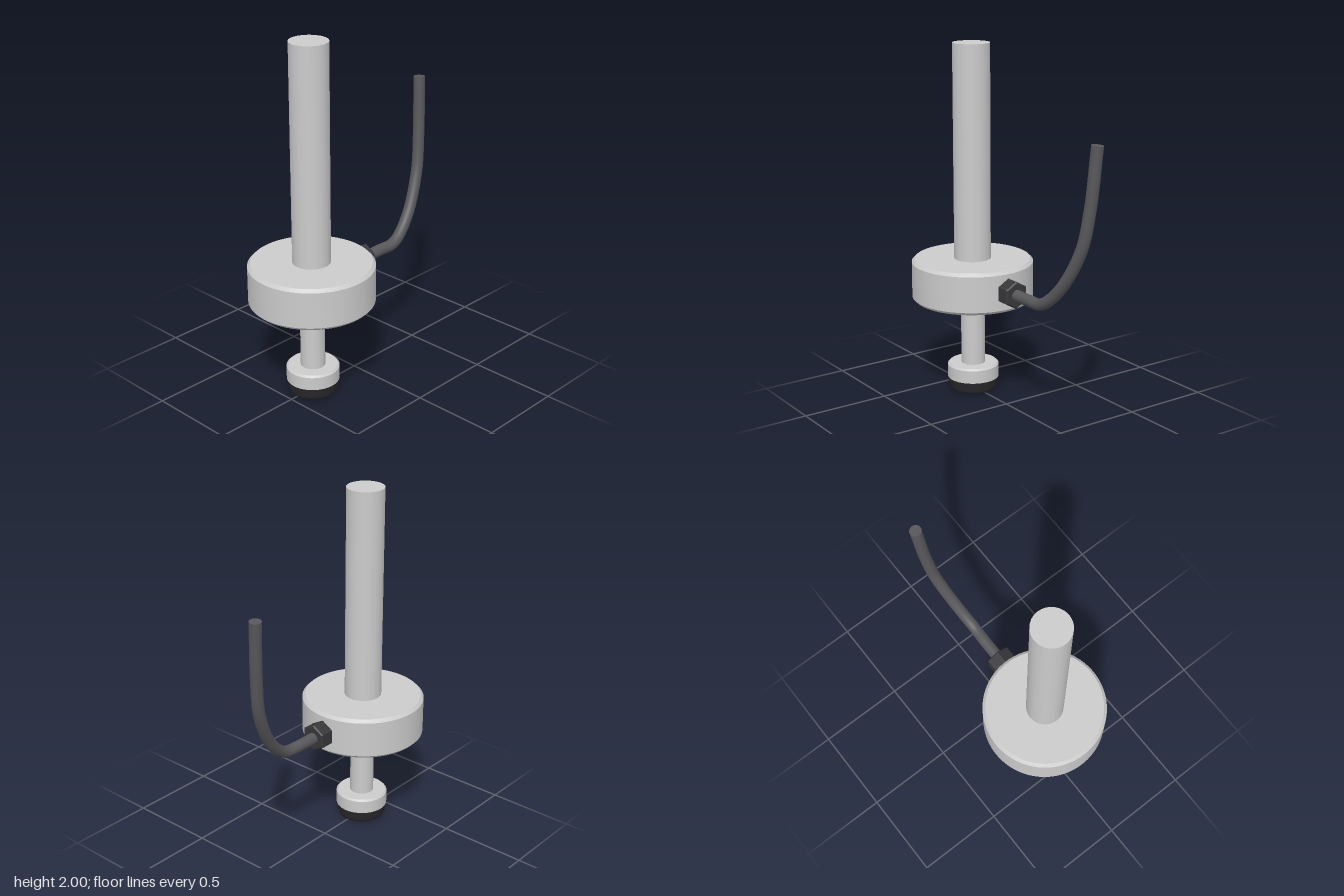
import * as THREE from 'three';
import { toCreasedNormals } from 'three/addons/utils/BufferGeometryUtils.js';

const AXIS_X = -0.33;
const PORT_Y = 0.665;

const material = (color) => new THREE.MeshStandardMaterial({ color });
const grey = material(0xcccccc);
const nutDark = material(0x38383b);
const cableDark = material(0x58585b);
const rubber = material(0x262628);

// Turned solid from [radius, height] pairs listed bottom to top
function turned(profile, segments = 64, phiStart = 0, crease = 0.5) {
  const points = profile.map(([r, y]) => new THREE.Vector2(r, y));
  return toCreasedNormals(new THREE.LatheGeometry(points, segments, phiStart), crease);
}

// Capped cylinder profile with a chamfer at either end
function chamfered(r, y0, y1, low, high) {
  const p = [[0, y0], [r - low, y0]];
  if (low) p.push([r, y0 + low]);
  if (high) p.push([r, y1 - high]);
  p.push([r - high, y1], [0, y1]);
  return p;
}

export function createModel() {
  const model = new THREE.Group();
  const add = (name, geometry, mat, x = 0, y = 0) => {
    const mesh = new THREE.Mesh(geometry, mat);
    mesh.name = name;
    mesh.position.set(x, y, 0);
    model.add(mesh);
  };

  // Parts turned about the main vertical axis
  add('upperShaft', turned(chamfered(0.104, 0.77, 2, 0, 0)), grey, AXIS_X);
  add('bodyDisc', turned(chamfered(0.345, 0.545, 0.783, 0.017, 0.017), 96), grey, AXIS_X);
  add('lowerRod', turned(chamfered(0.068, 0.14, 0.56, 0, 0)), grey, AXIS_X);
  add('footCollar', turned(chamfered(0.147, 0.073, 0.158, 0, 0.01)), grey, AXIS_X);

  // Rubber foot with a rounded lower rim
  const foot = [[0, 0]];
  const round = 0.022;
  for (let i = 0; i <= 6; i++) {
    const a = (i / 6) * Math.PI / 2;
    foot.push([0.138 - round + round * Math.sin(a), round - round * Math.cos(a)]);
  }
  foot.push([0.138, 0.075], [0, 0.075]);
  add('rubberFoot', turned(foot), rubber, AXIS_X);

  // Hexagonal cable gland lying along x, a corner pointing up
  const nut = turned(chamfered(0.078, 0.013, 0.1, 0.007, 0.007), 6, Math.PI / 6, 0.1);
  nut.rotateZ(-Math.PI / 2);
  add('cableNut', nut, nutDark, 0, PORT_Y);

  // Cable leaving the gland and bending upwards and back
  const path = new THREE.CatmullRomCurve3([
    [0.06, PORT_Y, 0], [0.2, PORT_Y, 0], [0.325, 0.675, 0.002], [0.457, 0.785, -0.02],
    [0.578, 1.013, -0.058], [0.617, 1.235, -0.081], [0.639, 1.57, -0.104],
  ].map((p) => new THREE.Vector3(...p)));
  const cableRadius = 0.033;
  add('cable', new THREE.TubeGeometry(path, 80, cableRadius, 24), cableDark);

  // Flat cap on the free end of the cable
  const cap = new THREE.CircleGeometry(cableRadius, 24);
  cap.applyQuaternion(new THREE.Quaternion().setFromUnitVectors(
    new THREE.Vector3(0, 0, 1), path.getTangent(1)));
  cap.translate(...path.getPoint(1).toArray());
  add('cableEnd', cap, cableDark);

  return model;
}
